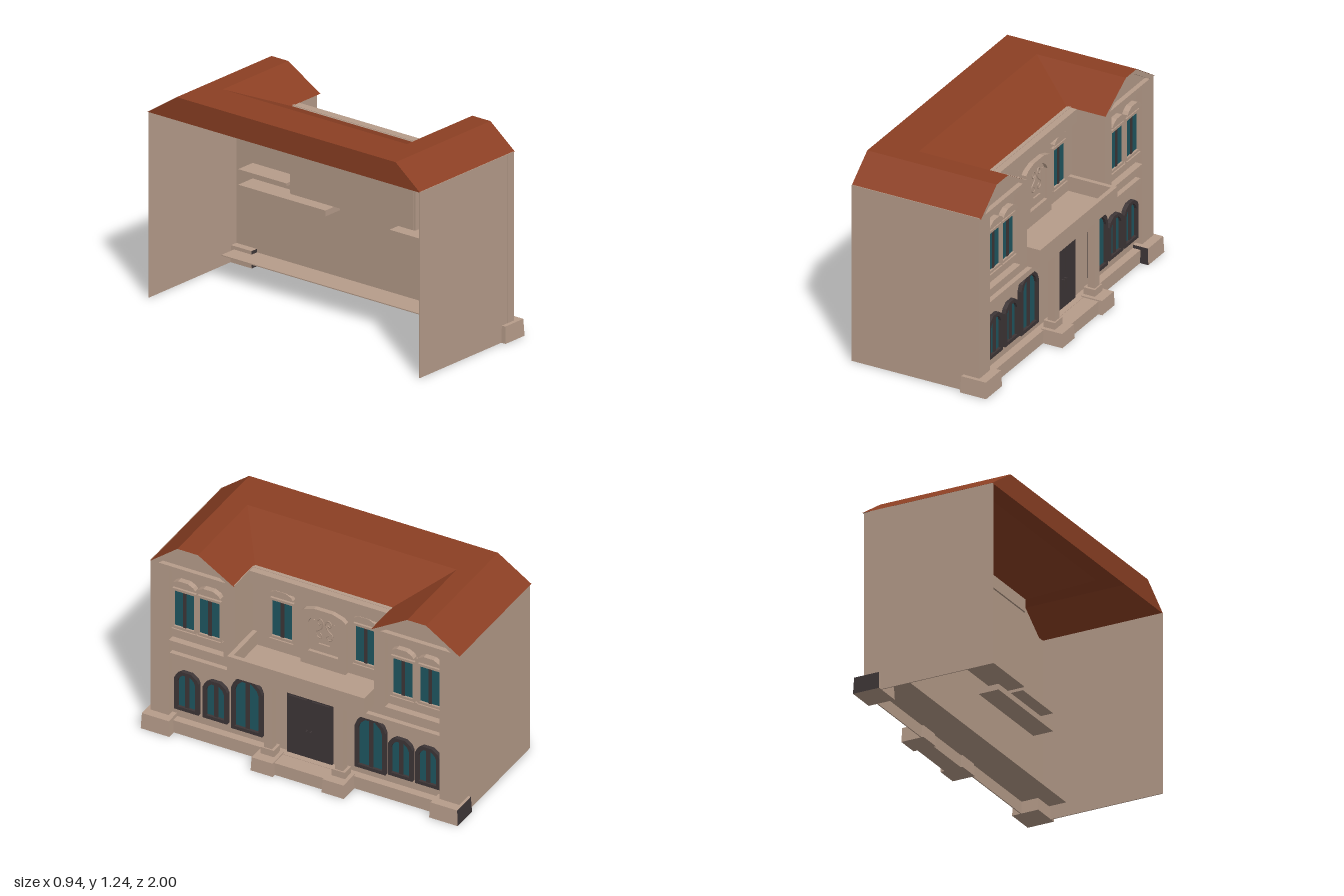
import * as THREE from 'three';

const mat = (name, color) => {
  const m = new THREE.MeshStandardMaterial({ color, side: THREE.DoubleSide });
  m.name = name;
  return m;
};

export function createModel() {
  const model = new THREE.Group();
  model.name = 'townHall';
  const stone = mat('stone', 0xb69c8a);
  const tile = mat('roofTile', 0x8b3f23);
  const glass = mat('tealGlass', 0x1f5661);
  const dark = mat('darkWood', 0x3d3536);

  const add = (name, geo, material) => {
    const mesh = new THREE.Mesh(geo, material);
    mesh.name = name;
    model.add(mesh);
    return mesh;
  };
  // Box given by its limits
  const box = (name, m, x0, x1, y0, y1, z0, z1) => {
    const g = new THREE.BoxGeometry(x1 - x0, y1 - y0, Math.abs(z1 - z0));
    g.translate((x0 + x1) / 2, (y0 + y1) / 2, (z0 + z1) / 2);
    return add(name, g, m);
  };
  // Block whose foot is wider than its top
  const footing = (name, m, x0, x1, h, z0, z1) => {
    const mesh = box(name, m, x0, x1, 0, h, z0, z1);
    const p = mesh.geometry.attributes.position;
    const cx = (x0 + x1) / 2, cz = (z0 + z1) / 2;
    for (let i = 0; i < p.count; i++) {
      if (p.getY(i) > h / 2) {
        p.setX(i, cx + (p.getX(i) - cx) * 0.95);
        p.setZ(i, cz + (p.getZ(i) - cz) * 0.94);
      }
    }
    mesh.geometry.computeVertexNormals();
    return mesh;
  };
  // Outline in (z, y) extruded along +x, with an optional hole
  const slab = (name, m, pts, x0, x1, hole) => {
    const v = (a) => a.map(([z, y]) => new THREE.Vector2(-z, y));
    const shape = new THREE.Shape(v(pts));
    if (hole) shape.holes.push(new THREE.Path(v(hole)));
    const g = new THREE.ExtrudeGeometry(shape, { depth: x1 - x0, bevelEnabled: false });
    g.rotateY(Math.PI / 2).translate(x0, 0, 0);
    return add(name, g, m);
  };
  // Flattened arch outline
  const arch = (zc, w, y0, y1, rise) => [
    [zc - w / 2, y0], [zc + w / 2, y0], [zc + w / 2, y1 - rise], [zc + w * 0.42, y1 - rise * 0.5],
    [zc + w * 0.2, y1], [zc - w * 0.2, y1], [zc - w * 0.42, y1 - rise * 0.5], [zc - w / 2, y1 - rise],
  ];

  // Roof: trapezoid wings joined by a recessed middle slope
  const T = 1.235, E = 1.097, xb = -0.47, xf = 0.352, xr = -0.215, xe = 0.105;
  const sides = [{ e: 0.97, r: 0.795, i: 0.665, v: 0.44 }, { e: -0.985, r: -0.775, i: -0.655, v: -0.425 }];
  const verts = [];
  const quad = (...q) => {
    const [a, b, c, d] = q.map((p) => new THREE.Vector3(...p));
    const n = b.clone().sub(a).cross(c.clone().sub(a)).normalize();
    const flip = n.y < -0.01 || (Math.abs(n.y) < 0.01 && n.x > 0);
    for (const p of flip ? [a, c, b, a, d, c] : [a, b, c, a, c, d]) verts.push(p.x, p.y, p.z);
  };
  for (const { e, r, i, v } of sides) {
    quad([xb, E, e], [xf, E, e], [xf, T, r], [xb, T, r]);
    quad([xb, T, r], [xf, T, r], [xf, T, i], [xb, T, i]);
    quad([xr, T, i], [xf, T, i], [xf, E, v], [xe, E, v]);
  }
  const [L, R] = sides;
  quad([xb, T, L.i], [xr, T, L.i], [xr, T, R.i], [xb, T, R.i]);
  quad([xr, T, L.i], [xe, E, L.v], [xe, E, R.v], [xr, T, R.i]);
  quad([xb, E, L.e], [xb, T, L.r], [xb, T, R.r], [xb, E, R.e]);
  const roofGeo = new THREE.BufferGeometry();
  roofGeo.setAttribute('position', new THREE.Float32BufferAttribute(verts, 3));
  roofGeo.computeVertexNormals();
  add('roof', roofGeo, tile);

  // Gables with a raised rim
  for (const { e, r, i, v } of sides) {
    const outer = [[e, E], [r, T - 0.003], [i, T - 0.003], [v, E]];
    const c = (e + v) / 2;
    const inner = outer.map(([z, y]) => [c + (z - c) * 0.8, E + 0.004 + (y - E) * 0.8]);
    slab('gableRim', stone, outer, 0.30, 0.347, inner);
    slab('gablePanel', stone, inner, 0.30, 0.318);
  }

  // Wings
  for (const s of [1, -1]) {
    const b = (name, x0, x1, y0, y1, z0, z1) => box(name, stone, x0, x1, y0, y1, s * z0, s * z1);
    const out = s > 0 ? 0.97 : 0.978;
    b('sideWall', -0.47, 0.30, 0, 1.1, out - 0.006, out);
    b('cornerPilaster', 0.285, 0.342, 0.08, 1.1, 0.855, out + 0.001);
    b('innerPilaster', 0.285, 0.342, 0.585, 1.1, 0.44, 0.51);
    b('wingReturnWall', 0.12, 0.30, 0.57, 1.1, 0.44, 0.45);
    b('wingUpperWall', 0.285, 0.30, 0.57, 1.1, 0.45, 0.96);
    b('wingCornice', 0.30, 0.335, 1.065, 1.1, 0.51, 0.855);
    b('wingLedge', 0.16, 0.342, 0.585, 0.602, 0.51, 0.855);
    b('windowApron', 0.30, 0.318, 0.65, 0.675, 0.53, 0.845);
    b('windowSurround', 0.30, 0.308, 0.675, 0.965, 0.54, 0.84);
    b('stringCourse', 0.16, 0.33, 0.475, 0.51, 0.23, 0.855);
  }

  // Central walls and cornice
  box('lowerWall', stone, 0.285, 0.30, 0.08, 0.59, -0.96, 0.96);
  box('centreUpperWall', stone, 0.115, 0.13, 0.57, 1.1, -0.44, 0.44);
  box('centreCornice', stone, 0.105, 0.17, 1.02, 1.098, -0.425, 0.44);
  box('corniceMoulding', stone, 0.13, 0.15, 1.0, 1.02, -0.425, 0.44);

  // Base, open below, with a step before the door
  box('baseTop', stone, 0.13, 0.348, 0.074, 0.08, -0.95, 0.95);
  box('baseFront', stone, 0.342, 0.348, 0, 0.074, -0.95, 0.95);
  box('doorStep', stone, 0.348, 0.445, 0, 0.078, -0.2, 0.15);

  // Corner footings; one has dark ends
  footing('cornerFooting', stone, 0.235, 0.40, 0.1, 0.82, 1.0);
  footing('cornerFooting', [stone, stone, stone, stone, dark, dark], 0.235, 0.40, 0.1, -1.0, -0.82);

  // Porch columns on their footings
  for (const z of [0.198, -0.25]) {
    footing('columnFooting', stone, 0.33, 0.47, 0.086, z - 0.07, z + 0.07);
    box('columnBase', stone, 0.335, 0.407, 0.08, 0.128, z - 0.042, z + 0.042);
    box('column', stone, 0.35, 0.398, 0.128, 0.545, z - 0.026, z + 0.026);
  }

  // Balcony
  box('balconyBeam', stone, 0.29, 0.40, 0.54, 0.57, -0.40, 0.41);
  box('balconyFloor', stone, 0.115, 0.425, 0.57, 0.59, -0.425, 0.44);
  box('balconyFront', stone, 0.40, 0.427, 0.57, 0.68, -0.425, 0.44);
  for (const [z0, z1] of [[0.413, 0.44], [-0.425, -0.398]])
    box('balconySide', stone, 0.13, 0.40, 0.57, 0.68, z0, z1);

  // Upper windows: two panes, a mullion and an arched hood
  const upperWindow = (x, zc) => {
    const w = 0.128, y0 = 0.695, y1 = 0.93;
    const rect = (a, d) => [[zc - a, y0 - d], [zc + a, y0 - d], [zc + a, y1 + d], [zc - a, y1 + d]];
    slab('windowCasing', stone, rect(w / 2 + 0.01, 0.015), x, x + 0.016, rect(w / 2, 0));
    box('windowGlass', glass, x, x + 0.004, y0, y1, zc - w / 2, zc + w / 2);
    box('windowMullion', dark, x, x + 0.01, y0, y1, zc - 0.01, zc + 0.01);
    slab('windowHood', stone, arch(zc, w + 0.025, 0.965, 1.008, 0.035), x - 0.008, x + 0.028);
    box('windowSill', stone, x - 0.008, x + 0.025, y0 - 0.03, y0 - 0.015, zc - 0.075, zc + 0.075);
  };
  for (const z of [0.768, 0.61, -0.61, -0.78]) upperWindow(0.308, z);
  for (const z of [0.25, -0.275]) upperWindow(0.13, z);

  // Lower arched windows in dark frames
  const archedWindow = (zc, w, y0, y1, rise) => {
    const t = 0.021;
    const inner = arch(zc, w - 2 * t, y0 + t, y1 - t, rise * 0.9);
    slab('archedFrame', dark, arch(zc, w, y0, y1, rise), 0.29, 0.325, inner);
    slab('archedGlass', glass, inner, 0.30, 0.308);
    box('archedMullion', dark, 0.30, 0.316, y0 + t, y1 - t, zc - 0.012, zc + 0.012);
  };
  for (const z of [0.754, 0.573, -0.595, -0.767]) archedWindow(z, 0.154, 0.143, 0.4, 0.05);
  for (const z of [0.373, -0.405]) archedWindow(z, 0.195, 0.13, 0.48, 0.075);

  // Double door with panels and handles
  const zd = -0.018;
  box('door', dark, 0.295, 0.312, 0.08, 0.495, zd - 0.142, zd + 0.142);
  for (const s of [1, -1]) {
    box('doorPanel', dark, 0.312, 0.321, 0.31, 0.465, zd + s * 0.016, zd + s * 0.126);
    box('doorHandle', dark, 0.312, 0.332, 0.2, 0.265, zd + s * 0.01, zd + s * 0.018);
  }

  // Central niche with mirrored ironwork-like scrolls
  const opening = arch(zd, 0.19, 0.68, 0.93, 0.06);
  slab('niche', stone, arch(zd, 0.285, 0.59, 0.968, 0.04), 0.125, 0.16, opening);
  slab('nichePanel', stone, opening, 0.125, 0.14);
  const curl = [[0.02, 0.87], [0.035, 0.86], [0.045, 0.88], [0.025, 0.9], [0.008, 0.875],
    [0.02, 0.84], [0.05, 0.81], [0.045, 0.78], [0.022, 0.775], [0.018, 0.795], [0.03, 0.805]];
  for (const s of [1, -1]) {
    const path = new THREE.CatmullRomCurve3(curl.map(([z, y]) => new THREE.Vector3(0.142, y, zd + s * z)));
    add('scroll', new THREE.TubeGeometry(path, 36, 0.004, 5), stone);
    box('scrollStem', stone, 0.14, 0.148, 0.77, 0.885, zd + s * 0.06, zd + s * 0.066);
  }
  box('nicheBar', stone, 0.14, 0.15, 0.73, 0.738, zd - 0.035, zd + 0.035);

  return model;
}
